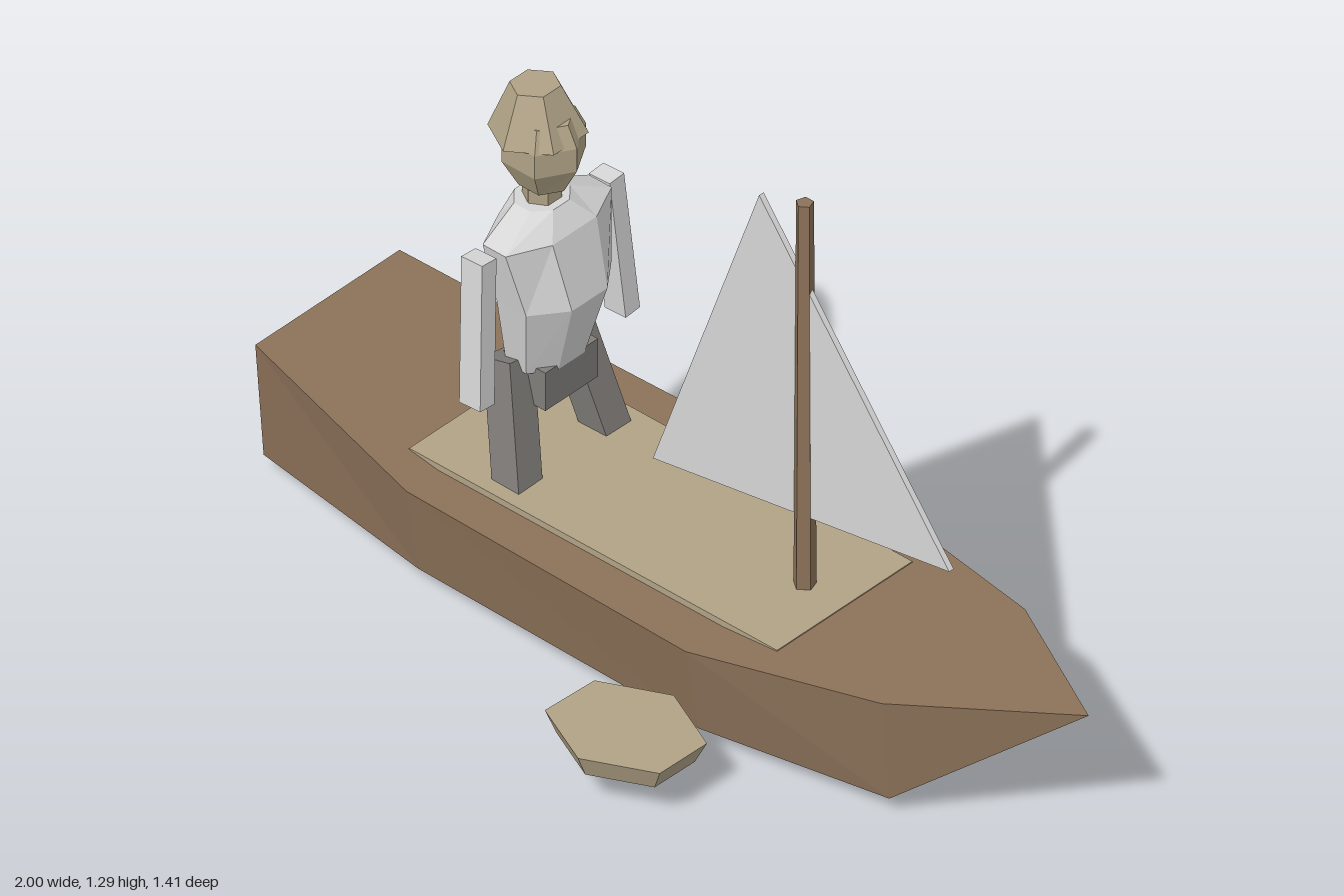
import * as THREE from 'three';

const mat = (name, color, flatShading = true) => {
  const m = new THREE.MeshStandardMaterial({ color, flatShading });
  m.name = name;
  return m;
};

// Skin a list of equal-length rings (turning positively about the direction of travel) and cap both ends.
function loft(rings) {
  const pos = [];
  const tri = (a, b, c) => {
    const n = b.clone().sub(a).cross(c.clone().sub(a));
    if (n.length() > 1e-8) for (const p of [a, b, c]) pos.push(p.x, p.y, p.z);
  };
  const n = rings[0].length, last = rings[rings.length - 1];
  for (let i = 0; i < rings.length - 1; i++) {
    for (let j = 0; j < n; j++) {
      const k = (j + 1) % n;
      const [a, b, c, d] = [rings[i][j], rings[i][k], rings[i + 1][k], rings[i + 1][j]];
      tri(a, b, c);
      tri(a, c, d);
    }
  }
  for (let j = 1; j < n - 1; j++) {
    tri(last[0], last[j], last[j + 1]);
    tri(rings[0][0], rings[0][j + 1], rings[0][j]);
  }
  const g = new THREE.BufferGeometry();
  g.setAttribute('position', new THREE.Float32BufferAttribute(pos, 3));
  g.computeVertexNormals();
  return g;
}

const V = (x, y, z) => new THREE.Vector3(x, y, z);

// Horizontal elliptical ring centred at (cx, y, 0).
const oval = (cx, y, rx, rz, sides) => Array.from({ length: sides }, (_, i) => {
  const t = ((i + 0.5) / sides) * Math.PI * 2;
  return V(cx + rx * Math.sin(t), y, rz * Math.cos(t));
});

export function createModel() {
  const wood = mat('brown wood', 0x8c7259);
  const tan = mat('tan', 0xb0a286);
  const white = mat('white cloth', 0xd6d6d6);
  const grey = mat('grey cloth', 0x807d79);

  const root = new THREE.Group();
  root.name = 'sailingBoat';
  const boat = new THREE.Group();
  boat.name = 'boat';
  boat.rotation.y = -Math.PI / 6;
  root.add(boat);

  const add = (parent, name, geometry, material, x = 0, y = 0, z = 0) => {
    const m = new THREE.Mesh(geometry, material);
    m.name = name;
    m.position.set(x, y, z);
    parent.add(m);
    return m;
  };

  // Square-section limb between two points
  const limb = (parent, name, a, b, w, d, material) => {
    const dir = b.clone().sub(a);
    const m = add(parent, name, new THREE.BoxGeometry(w, dir.length(), d), material);
    m.position.copy(a).add(b).multiplyScalar(0.5);
    m.quaternion.setFromUnitVectors(V(0, 1, 0), dir.normalize());
  };

  // Hull: [x, deck height, deck half width, chine half width], V-shaped bottom, pointed bow
  const sections = [
    [-1.024, 0.345, 0.226, 0.2],
    [-0.513, 0.265, 0.312, 0.275],
    [0.302, 0.265, 0.33, 0.29],
    [0.767, 0.305, 0.225, 0.2],
  ].map(([x, y, w, c]) => [V(x, y, w), V(x, 0.04, c), V(x, 0, 0), V(x, 0.04, -c), V(x, y, -w)]);
  sections.push(Array.from({ length: 5 }, () => V(1.155, 0.345, 0)));
  add(boat, 'hull', loft(sections), wood);

  // Deck panel
  add(boat, 'deckPanel', new THREE.BoxGeometry(1.053, 0.06, 0.424), tan, -0.07, 0.251, 0);

  // Mast and triangular sail
  add(boat, 'mast', new THREE.CylinderGeometry(0.02, 0.026, 1.03, 5), wood, 0.342, 0.775, 0);
  const tri = new THREE.Shape([[-0.086, 0.4], [0.762, 0.53], [0.218, 1.25]].map((p) => new THREE.Vector2(...p)));
  add(boat, 'sail', new THREE.ExtrudeGeometry(tri, { depth: 0.014, bevelEnabled: false }), white, 0, 0, -0.007);

  // Sailor, facing the bow
  const sailor = new THREE.Group();
  sailor.name = 'sailor';
  boat.add(sailor);
  add(sailor, 'torso', loft([
    oval(-0.395, 0.53, 0.075, 0.105, 8),
    oval(-0.375, 0.72, 0.11, 0.145, 8),
    oval(-0.395, 0.88, 0.085, 0.18, 8),
    oval(-0.41, 0.93, 0.06, 0.068, 8),
  ]), white);
  add(sailor, 'hips', new THREE.BoxGeometry(0.12, 0.1, 0.165), grey, -0.385, 0.495, 0);
  for (const [side, s] of [['right', 1], ['left', -1]]) {
    limb(sailor, side + 'Leg', V(-0.352, 0.265, 0.14 * s), V(-0.422, 0.55, 0.092 * s), 0.077, 0.075, grey);
    limb(sailor, side + 'Arm', V(-0.388, 0.515, 0.228 * s), V(-0.408, 0.875, 0.2 * s), 0.06, 0.045, white);
  }

  // Neck, head and hat
  add(sailor, 'neck', new THREE.CylinderGeometry(0.043, 0.043, 0.09, 6), tan, -0.41, 0.955, 0);
  add(sailor, 'head', loft([
    oval(-0.405, 0.97, 0.058, 0.055, 6),
    oval(-0.405, 1.04, 0.095, 0.093, 6),
    oval(-0.405, 1.1, 0.095, 0.093, 6),
    oval(-0.405, 1.15, 0.07, 0.07, 6),
  ]), tan);
  const hat = add(sailor, 'hat', new THREE.CylinderGeometry(0.056, 0.11, 0.115, 6), tan, -0.425, 1.156, 0);
  hat.rotation.z = 0.07;

  // Six-sided slab floating beside the boat, narrower underneath
  const outline = [[0.105, 0.145], [0.18, 0.02], [0.075, -0.13], [-0.1, -0.145], [-0.18, -0.02], [-0.075, 0.13]];
  const slab = (y, k) => outline.map(([x, z]) => V(x * k, y, z * k));
  add(root, 'floatingSlab', loft([slab(0.085, 0.85), slab(0.14, 1)]), tan, -0.005, 0, 0.56);

  return root;
}
